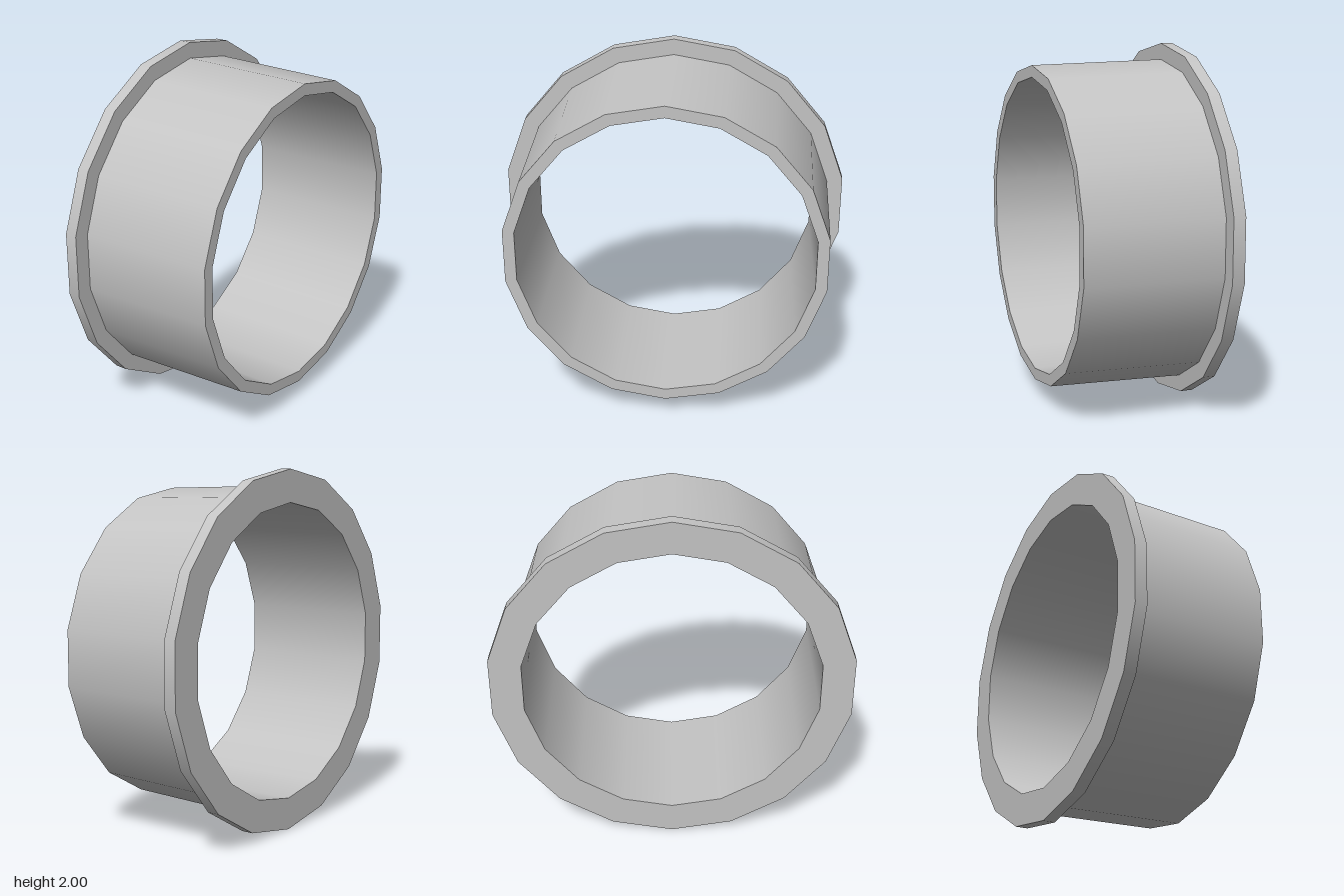
import * as THREE from 'three';
import { mergeGeometries } from 'three/addons/utils/BufferGeometryUtils.js';

const SIDES = 18;

// Revolve each profile segment separately: smooth around, sharp between segments.
// Points are [radius, x], ordered so that the faces point outward.
function revolve(points) {
  const bands = [];
  for (let i = 0; i + 1 < points.length; i++) {
    const segment = [points[i], points[i + 1]].map(([r, x]) => new THREE.Vector2(r, x));
    bands.push(new THREE.LatheGeometry(segment, SIDES, Math.PI / 2));
  }
  return mergeGeometries(bands).rotateZ(-Math.PI / 2); // axis along x
}

export function createModel() {
  const group = new THREE.Group();
  group.name = 'flangedBushing';
  const grey = new THREE.MeshStandardMaterial({ color: 0xc4c4c4 });
  grey.name = 'light grey';

  const left = -0.413, step = -0.345, right = 0.413;
  const boreLeft = 0.82, boreRight = 0.827;

  const add = (name, points) => {
    const mesh = new THREE.Mesh(revolve(points), grey);
    mesh.name = name;
    mesh.position.y = 1;
    group.add(mesh);
  };

  // Wide collar: end face, rim and shoulder
  add('flange', [[boreLeft, left], [1, left], [1, step], [0.91, step]]);
  // Slightly tapered sleeve: outer wall, end ring and bore
  add('sleeve', [[0.91, step], [0.892, right], [boreRight, right], [boreLeft, left]]);

  return group;
}
